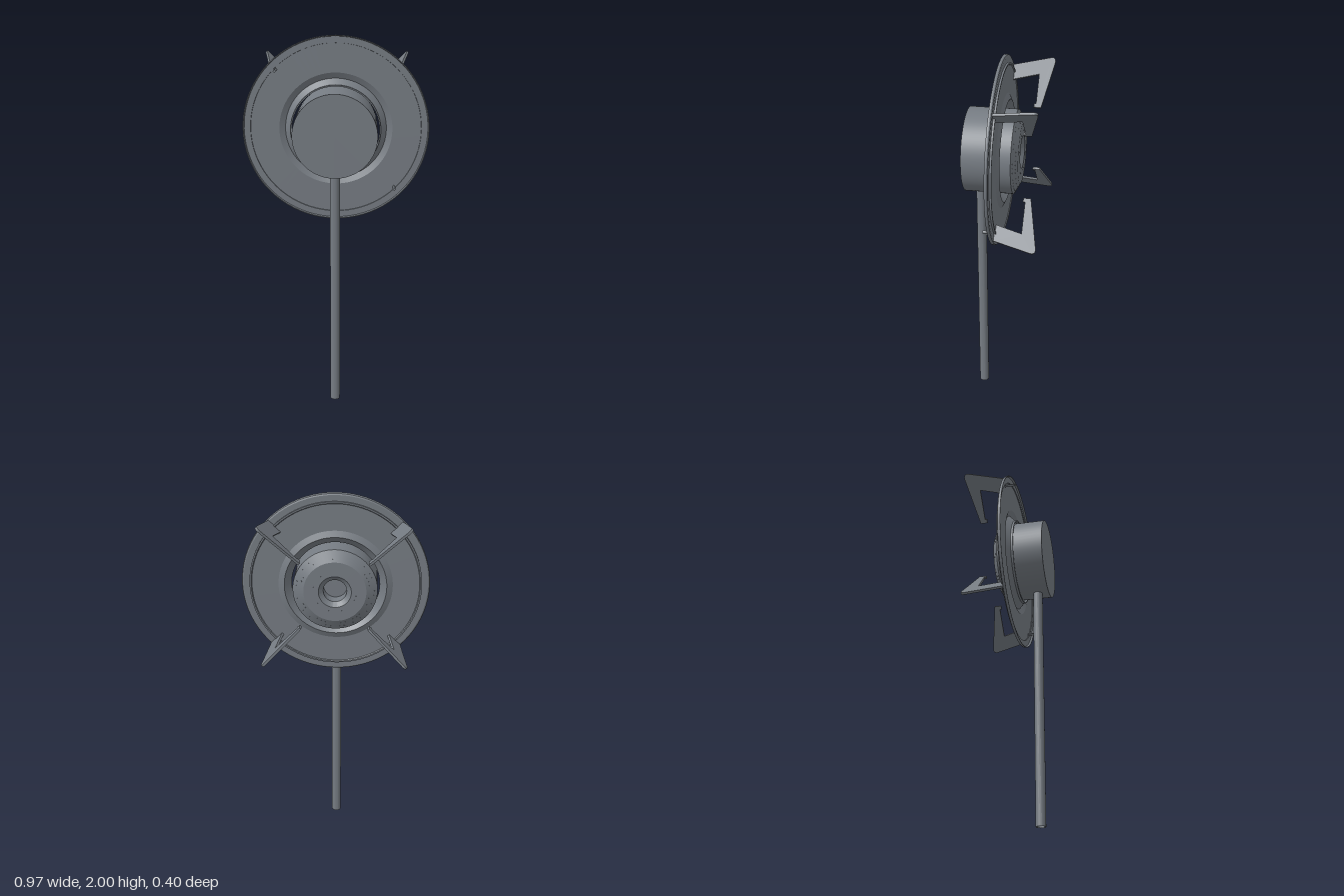
import * as THREE from 'three';
import { toCreasedNormals, mergeGeometries } from 'three/addons/utils/BufferGeometryUtils.js';

const steel = new THREE.MeshStandardMaterial({ color: 0x767c83 });

function add(parent, name, geometry) {
  const mesh = new THREE.Mesh(geometry, steel);
  mesh.name = name;
  parent.add(mesh);
  return mesh;
}

// Turned part from [radius, height] pairs, listed bottom, outside, top
function turned(points, segments = 64) {
  const profile = points.map(([r, h]) => new THREE.Vector2(r, h));
  return toCreasedNormals(new THREE.LatheGeometry(profile, segments), 0.3);
}

// Ring of small gas ports lying on a cone face
function portRing(radius, height, tilt, count, phase) {
  const ports = [];
  for (let i = 0; i < count; i++) {
    const port = new THREE.CylinderGeometry(0.0035, 0.0035, 0.0014, 8);
    port.rotateZ(-tilt);
    port.translate(radius, height, 0);
    port.rotateY(((i + phase) / count) * Math.PI * 2);
    ports.push(port);
  }
  return mergeGeometries(ports);
}

// Pan support blade, drawn in the radius/height plane
function supportGeometry() {
  const t = 0.012;
  const s = new THREE.Shape();
  s.moveTo(0.395, -0.013);
  s.lineTo(0.48, -0.016);
  s.lineTo(0.529, 0.176);
  s.quadraticCurveTo(0.533, 0.203, 0.503, 0.2);
  s.lineTo(0.246, 0.15);
  s.lineTo(0.246, 0.112);
  s.lineTo(0.266, 0.112);
  s.lineTo(0.266, 0.122);
  s.lineTo(0.432, 0.122);
  s.closePath();
  const g = new THREE.ExtrudeGeometry(s, { depth: t, bevelEnabled: false, curveSegments: 8 });
  g.translate(0, 0, -t / 2);
  return g;
}

export function createModel() {
  const model = new THREE.Group();
  model.name = 'gasBurner';

  // Burner assembly: local y is the burner axis, pointing to the back
  const burner = new THREE.Group();
  burner.name = 'burner';
  burner.position.y = 1.515;
  burner.rotation.x = -Math.PI / 2;
  model.add(burner);

  // Burner cup with chamfered cap and a central well
  add(burner, 'burnerBody', turned([
    [0, -0.2], [0.217, -0.2], [0.217, 0.05], [0.16, 0.08],
    [0.084, 0.08], [0.06, 0.062], [0.06, 0], [0, 0],
  ]));

  // Gas ports: two rings on the chamfer, one round the well
  const tilt = Math.atan2(0.03, 0.057);
  add(burner, 'gasPorts', mergeGeometries([
    portRing(0.2, 0.059, tilt, 52, 0),
    portRing(0.178, 0.0705, tilt, 52, 0.5),
    portRing(0.11, 0.08, 0, 30, 0),
  ]));

  // Pressed sheet drip plate: turned-down rim, shallow pan, raised bead, collar
  add(burner, 'dripPlate', turned([
    // underside, from collar to rim
    [0.228, -0.045], [0.235, -0.045], [0.235, -0.033], [0.264, -0.003], [0.295, -0.018],
    [0.445, -0.018], [0.446, -0.022], [0.479, -0.022], [0.482, -0.033],
    // rim
    [0.486, -0.033], [0.486, -0.024], [0.483, -0.018], [0.476, -0.015],
    // upper side, back to the collar
    [0.445, -0.015], [0.445, -0.005], [0.437, -0.005], [0.433, -0.01],
    [0.295, -0.01], [0.264, 0.004], [0.228, -0.031], [0.228, -0.045],
  ], 80));

  // Four pan supports; two opposite ones have locating tabs
  const blade = supportGeometry();
  for (let i = 0; i < 4; i++) {
    const support = new THREE.Group();
    support.name = 'panSupport';
    support.rotation.y = Math.PI / 4 + (i * Math.PI) / 2;
    burner.add(support);
    add(support, 'supportBlade', blade);
    if (i % 2 === 0) {
      add(support, 'locatingTab', new THREE.BoxGeometry(0.012, 0.064, 0.012)).position.set(0.437, -0.043, 0);
    }
  }

  // Hollow gas pipe running down from the cup
  const pipe = add(model, 'gasPipe', turned([
    [0.021, 0], [0.026, 0], [0.026, 1.31], [0.021, 1.31], [0.021, 0],
  ], 24));
  pipe.position.z = 0.137;

  return model;
}
